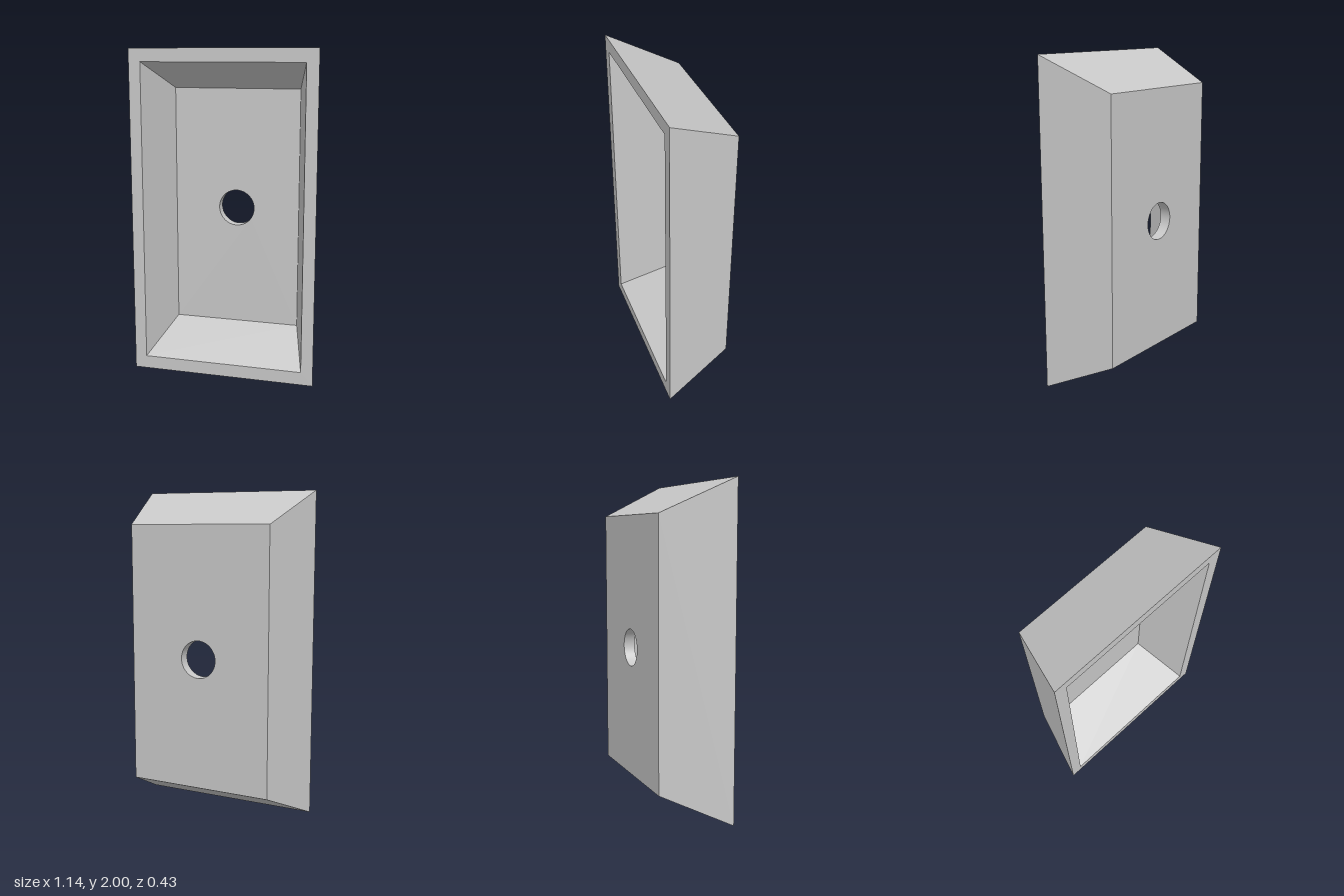
import * as THREE from 'three';

const HALF_DEPTH = 0.213;
const FLOOR_Z = -0.144;
const HOLE_RADIUS = 0.114;

// Rectangular sections, followed from the outside back, over the rim, to the inner floor
const sections = [
  { w: 0.457, h: 0.8, z: -HALF_DEPTH },
  { w: 0.57, h: 1.0, z: HALF_DEPTH },
  { w: 0.497, h: 0.92, z: HALF_DEPTH },
  { w: 0.402, h: 0.755, z: FLOOR_Z },
];

const corners = ({ w, h, z }) => [[-w, -h, z], [w, -h, z], [w, h, z], [-w, h, z]];

// Band of four flat quads joining two rectangular sections
function band(from, to) {
  const a = corners(from), b = corners(to), positions = [];
  for (let i = 0; i < 4; i++) {
    const j = (i + 1) % 4;
    positions.push(...a[i], ...a[j], ...b[j], ...a[i], ...b[j], ...b[i]);
  }
  const geometry = new THREE.BufferGeometry();
  geometry.setAttribute('position', new THREE.Float32BufferAttribute(positions, 3));
  geometry.computeVertexNormals();
  return geometry;
}

// Flat rectangle with the round drain hole cut out
function piercedPanel({ w, h }) {
  const shape = new THREE.Shape(corners({ w, h, z: 0 }).map(([x, y]) => new THREE.Vector2(x, y)));
  const hole = new THREE.Path();
  hole.absarc(0, 0, HOLE_RADIUS, 0, Math.PI * 2, true);
  shape.holes.push(hole);
  return new THREE.ShapeGeometry(shape, 32);
}

export function createModel() {
  const model = new THREE.Group();
  model.name = 'basin';
  const gray = new THREE.MeshStandardMaterial({ name: 'gray', color: 0xc8c8c8 });

  const add = (name, geometry) => {
    const mesh = new THREE.Mesh(geometry, gray);
    mesh.name = name;
    mesh.position.y = 1;
    model.add(mesh);
  };

  // Sloping walls and front rim
  ['outerWalls', 'rim', 'innerWalls'].forEach((name, i) => add(name, band(sections[i], sections[i + 1])));

  // Inner floor and outer back
  add('innerFloor', piercedPanel(sections[3]).translate(0, 0, FLOOR_Z));
  add('outerBack', piercedPanel(sections[0]).rotateY(Math.PI).translate(0, 0, -HALF_DEPTH));

  // Hole lining, profile runs downward so that it faces inward
  const lining = [FLOOR_Z, -HALF_DEPTH].map((z) => new THREE.Vector2(HOLE_RADIUS, z));
  add('holeLining', new THREE.LatheGeometry(lining, 64).rotateX(Math.PI / 2));

  return model;
}
